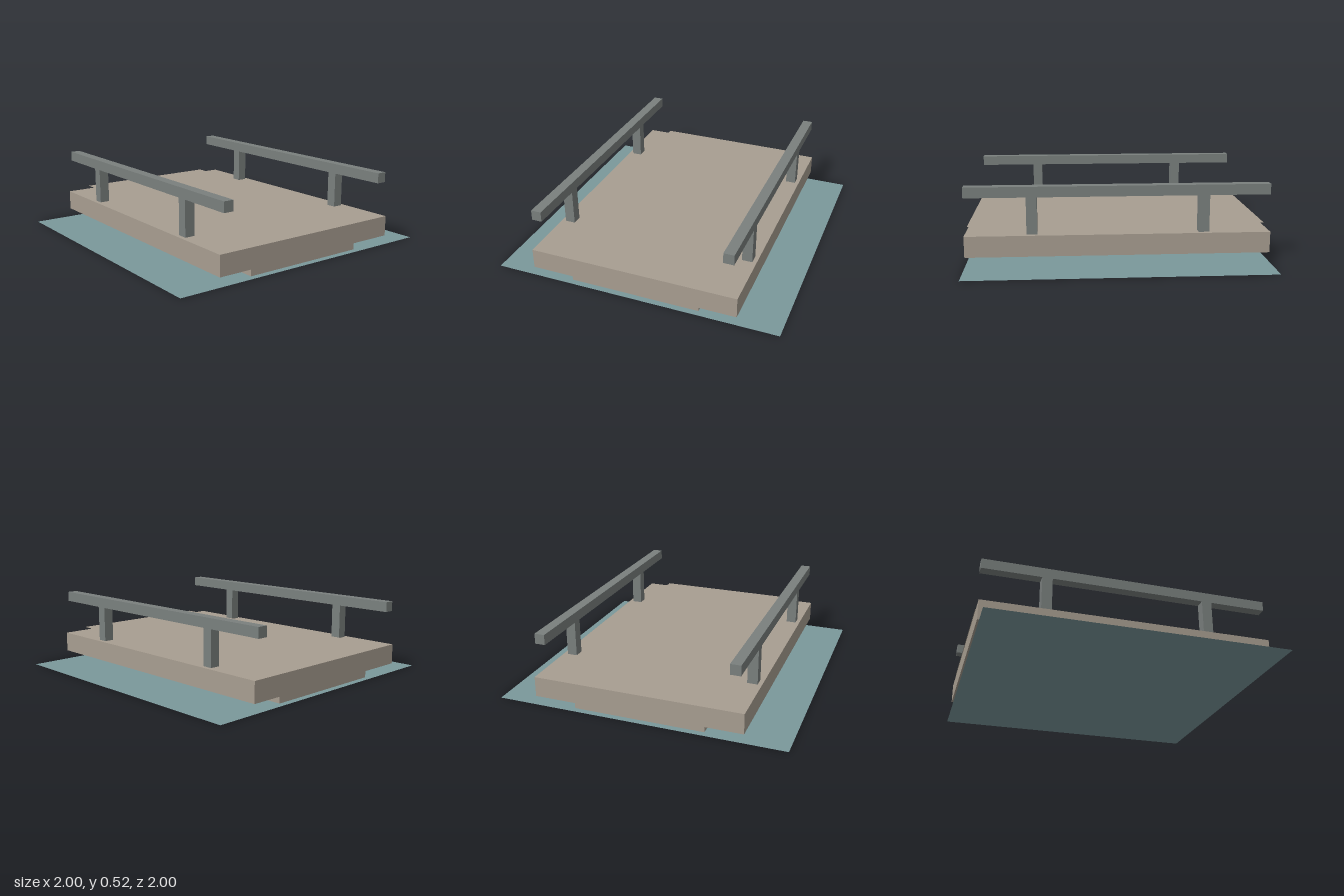
import * as THREE from 'three';

export function createModel() {
  const model = new THREE.Group();
  model.name = 'footbridge';

  const material = (name, color) => {
    const m = new THREE.MeshStandardMaterial({ color });
    m.name = name;
    return m;
  };
  const stone = material('stone', 0xa89e91);
  const metal = material('railing grey', 0x7a807e);
  const water = material('water blue', 0x7a989b);
  water.side = THREE.DoubleSide;
  const walkwayStone = stone.clone();
  walkwayStone.side = THREE.DoubleSide;

  const add = (name, geometry, mat, x, y, z) => {
    const mesh = new THREE.Mesh(geometry, mat);
    mesh.name = name;
    mesh.position.set(x, y, z);
    model.add(mesh);
  };
  // Box given by its width, bottom, top and depth
  const box = (name, mat, x, z, w, bottom, top, d) =>
    add(name, new THREE.BoxGeometry(w, top - bottom, d), mat, x, (bottom + top) / 2, z);
  // Thin horizontal sheet
  const sheet = (name, mat, w, d, y) =>
    add(name, new THREE.PlaneGeometry(w, d).rotateX(-Math.PI / 2), mat, 0, y, 0);

  // Water below, deck slab and the walking surface just above it
  sheet('water', water, 2, 2, 0);
  box('deck', stone, 0, 0, 1.44, 0.064, 0.204, 2);
  sheet('walkway', walkwayStone, 1.1, 2, 0.226);

  // Supports under both ends of the deck
  for (const end of [-1, 1]) {
    box(end > 0 ? 'frontSupport' : 'backSupport', stone, 0, end * 0.84, 0.905, 0.002, 0.064, 0.24);
  }

  // Handrails, each on two posts
  for (const side of [-1, 1]) {
    const label = side > 0 ? 'left' : 'right';
    box(label + 'Handrail', metal, side * 0.656, 0, 0.07, 0.45, 0.52, 2);
    for (const end of [-1, 1]) {
      box(label + (end > 0 ? 'FrontPost' : 'BackPost'), metal, side * 0.656, end * 0.564, 0.07, 0.204, 0.45, 0.07);
    }
  }

  return model;
}
